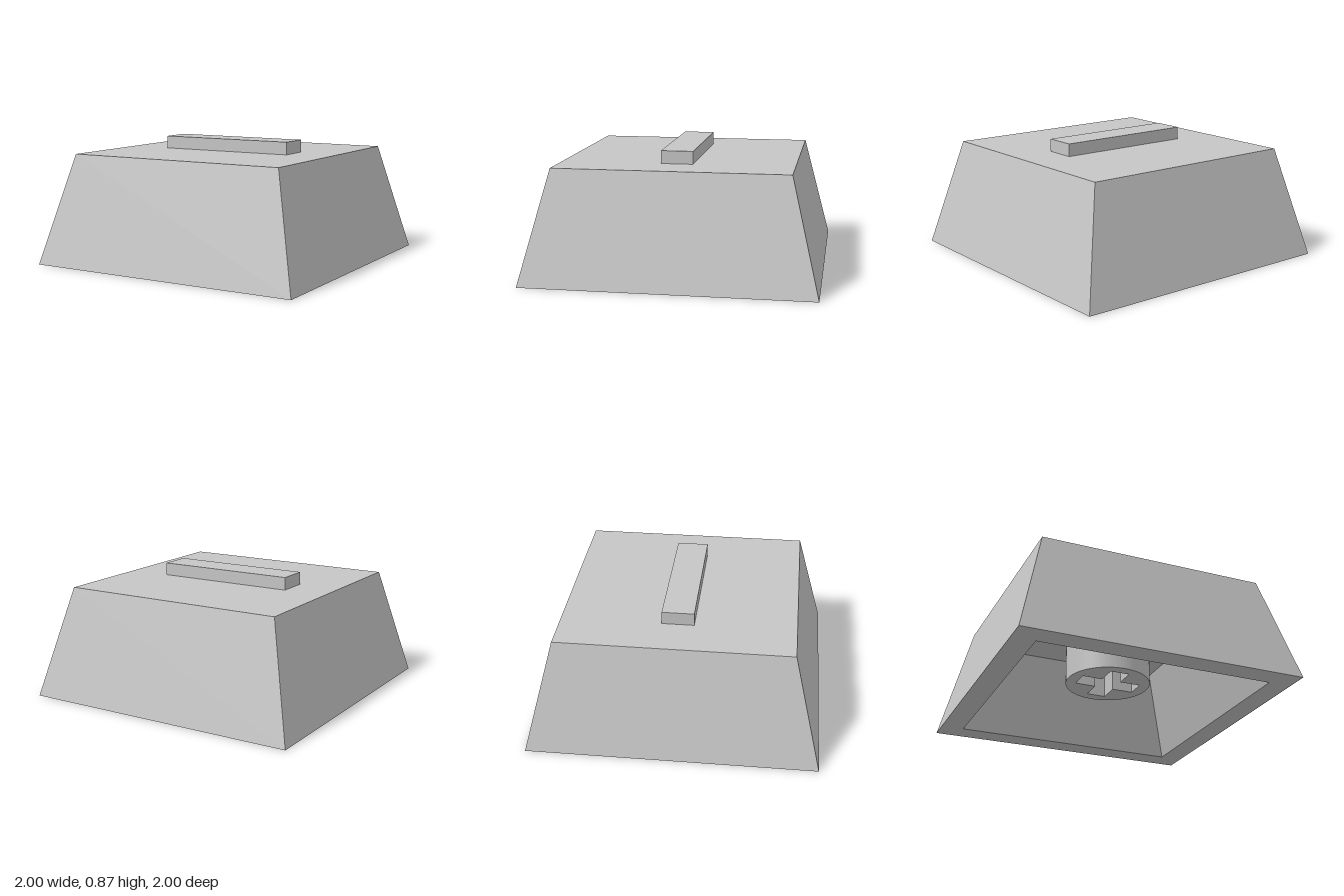
import * as THREE from 'three';
import { toCreasedNormals } from 'three/addons/utils/BufferGeometryUtils.js';

const H = 0.778;        // height of the cap
const CEILING = 0.611;  // height of the hollow inside
const STEM_BASE = 0.178;

export function createModel() {
  const group = new THREE.Group();
  const grey = new THREE.MeshStandardMaterial({ color: 0xc6c6c6 });
  grey.name = 'light grey';

  const add = (name, geometry) => {
    const mesh = new THREE.Mesh(geometry, grey);
    mesh.name = name;
    group.add(mesh);
    return mesh;
  };

  // Hollow tapered shell: four-sided lathe, [half width, height] from ceiling to rim to top
  const profile = [
    [0, CEILING], [0.639, CEILING], [0.835, 0], [1, 0], [0.805, H], [0, H],
  ].map(([w, y]) => new THREE.Vector2(w * Math.SQRT2, y));
  const shell = new THREE.LatheGeometry(profile, 4, Math.PI / 4).toNonIndexed();
  shell.computeVertexNormals();
  add('capShell', shell);

  // Raised bar on the top face
  add('topBar', new THREE.BoxGeometry(1, 0.089, 0.222)).position.y = H + 0.0445;

  // Round stem with a cross-shaped socket
  const disc = new THREE.Shape().absarc(0, 0, 0.305, 0, Math.PI * 2);
  const L = 0.222, W = 0.07;
  const cross = [];
  for (let i = 0; i < 4; i++) {
    for (const [x, y] of [[L, -W], [L, W], [W, W]]) {
      cross.push(new THREE.Vector2(x, y).rotateAround(new THREE.Vector2(), i * Math.PI / 2));
    }
  }
  disc.holes.push(new THREE.Path(cross));
  const stem = new THREE.ExtrudeGeometry(disc, {
    depth: CEILING - STEM_BASE, bevelEnabled: false, curveSegments: 48,
  });
  stem.rotateX(-Math.PI / 2);
  stem.translate(0, STEM_BASE, 0);
  add('stem', toCreasedNormals(stem, 0.5));

  return group;
}
